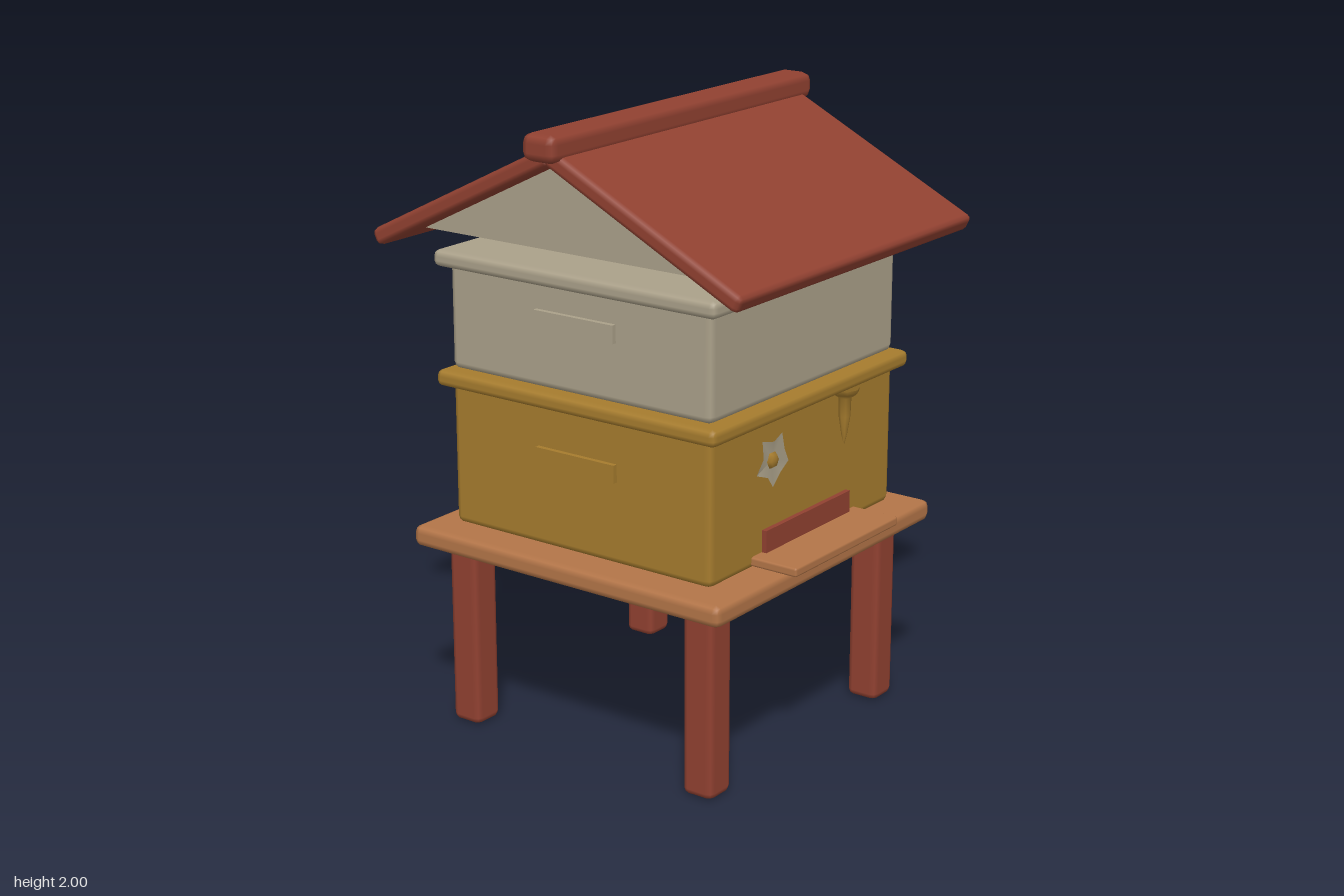
import * as THREE from 'three';
import { RoundedBoxGeometry } from 'three/addons/geometries/RoundedBoxGeometry.js';

const mat = (name, color) => {
  const m = new THREE.MeshStandardMaterial({ color });
  m.name = name;
  return m;
};

export function createModel() {
  const model = new THREE.Group();
  model.name = 'beehive';
  const red = mat('barn red', 0x914131);
  const cream = mat('cream', 0xaba18a);
  const gold = mat('honey gold', 0xa67c2e);
  const wood = mat('warm wood', 0xb37548);

  const add = (name, geometry, material, x, y, z) => {
    const mesh = new THREE.Mesh(geometry, material);
    mesh.name = name;
    mesh.position.set(x, y, z);
    model.add(mesh);
    return mesh;
  };
  // Box with a single-step bevel on every edge
  const block = (name, w, h, d, bevel, material, x, y, z) =>
    add(name, new RoundedBoxGeometry(w, h, d, 1, bevel), material, x, y, z);

  // Stand: four legs and a platform
  for (const sx of [-1, 1])
    for (const sz of [-1, 1])
      block('leg', 0.11, 0.62, 0.11, 0.022, red, sx * 0.459, 0.31, sz * 0.459);
  block('platform', 1.184, 0.07, 1.184, 0.024, wood, 0, 0.636, 0);

  // Two stacked boxes, each with a rim and side handles
  const hiveBox = (label, material, bottom, rimTop, handleY) => {
    const top = rimTop - 0.03;
    block(label + 'Box', 0.99, top - bottom, 0.99, 0.024, material, 0, (top + bottom) / 2, 0);
    block(label + 'Rim', 1.064, 0.055, 1.064, 0.021, material, 0, rimTop - 0.0275, 0);
    for (const s of [-1, 1])
      add(label + 'Handle', new THREE.BoxGeometry(0.03, 0.057, 0.3), material, s * 0.496, handleY, 0);
  };
  hiveBox('lower', gold, 0.674, 1.18, 0.968);
  hiveBox('upper', cream, 1.18, 1.562, 1.4);

  // Entrance slot and landing board
  add('entrance', new THREE.BoxGeometry(0.46, 0.085, 0.03), red, 0, 0.743, 0.496);
  block('landingBoard', 0.57, 0.03, 0.17, 0.008, wood, 0, 0.7, 0.572);

  // Flower: a disc with alternating tips and notches, slightly dished
  const petals = new THREE.CircleGeometry(0.088, 10);
  const p = petals.attributes.position;
  for (let i = 1; i < p.count; i++) {
    const notch = i % 2 === 0;
    const k = notch ? 0.66 : 1;
    p.setXYZ(i, p.getX(i) * k, p.getY(i) * k, notch ? 0.008 : 0.002);
  }
  petals.computeVertexNormals();
  const flower = add('flowerPetals', petals, cream, -0.19, 1.0, 0.501);
  flower.rotation.z = THREE.MathUtils.degToRad(200);
  const heart = add('flowerHeart', new THREE.SphereGeometry(0.028, 6, 4), gold, -0.194, 1.0, 0.505);
  heart.rotation.x = Math.PI / 2;
  heart.scale.y = 0.5;

  // Honey drip hanging below the lower rim
  const dripProfile = [
    [0, 0.943], [0.01, 0.98], [0.02, 1.04], [0.022, 1.1], [0.045, 1.115], [0.05, 1.13],
  ].map(([x, y]) => new THREE.Vector2(x, y));
  const drip = add('honeyDrip', new THREE.LatheGeometry(dripProfile, 8), gold, 0.195, 0, 0.508);
  drip.scale.z = 0.9;

  // Roof: two sloping panels under a ridge cap
  const pitch = Math.atan(0.496);
  for (const s of [-1, 1]) {
    const panel = block('roofPanel', 1.256, 0.055, 0.76, 0.018, red, 0, 1.93 - 0.34 * 0.496, s * 0.34);
    panel.rotation.x = s * pitch;
  }
  block('ridgeCap', 1.333, 0.085, 0.122, 0.028, red, 0, 1.9575, 0);

  // Triangular gable boards
  const triangle = new THREE.Shape([
    new THREE.Vector2(-0.545, 1.63),
    new THREE.Vector2(0.545, 1.63),
    new THREE.Vector2(0, 1.91),
  ]);
  for (const s of [-1, 1]) {
    const geometry = new THREE.ExtrudeGeometry(triangle, { depth: 0.03, bevelEnabled: false });
    geometry.translate(0, 0, -0.015);
    add('gable', geometry, cream, s * 0.527, 0, 0).rotation.y = Math.PI / 2;
  }

  return model;
}
